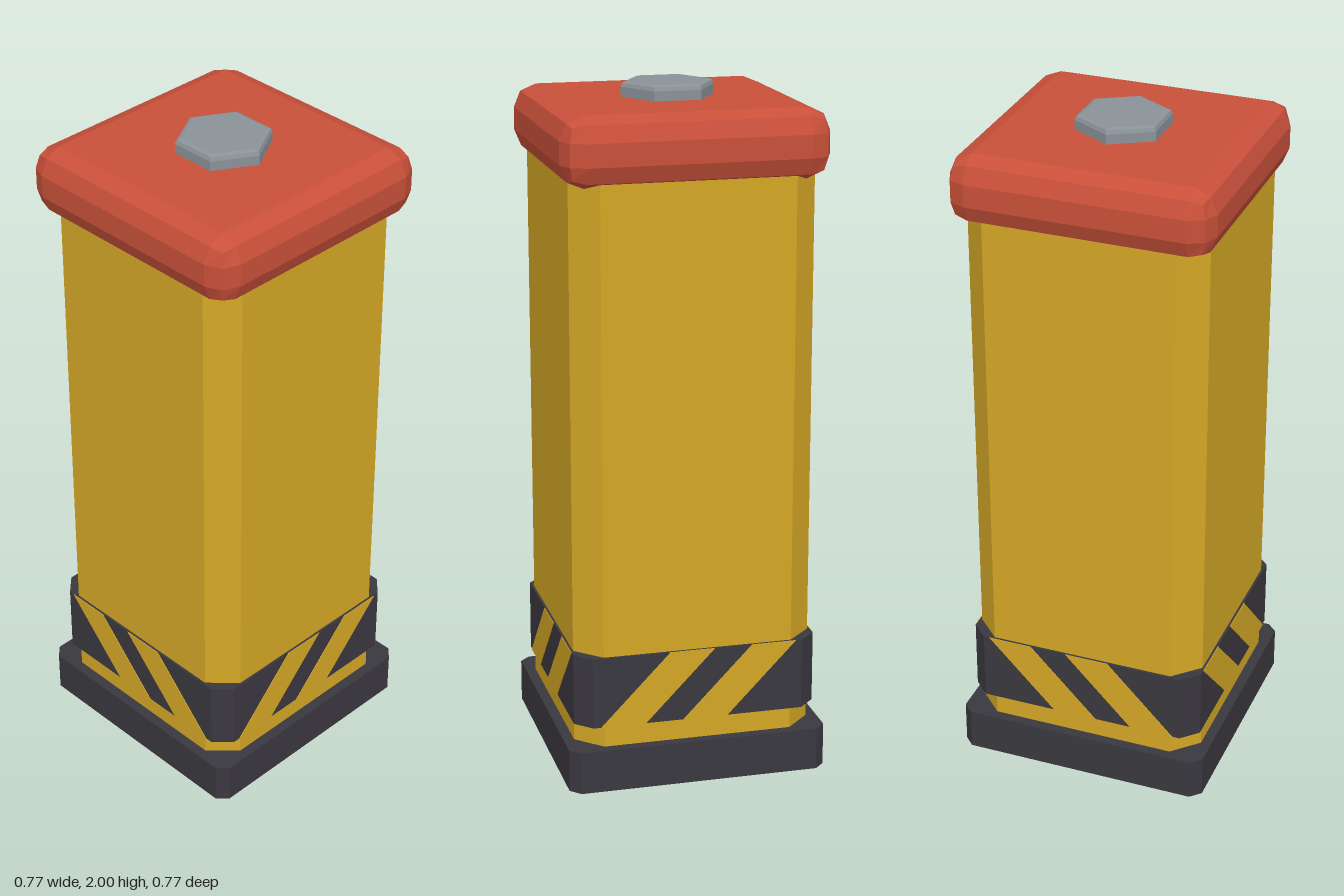
import * as THREE from 'three';
import { RoundedBoxGeometry } from 'three/addons/geometries/RoundedBoxGeometry.js';

function material(name, color) {
  const m = new THREE.MeshStandardMaterial({ color, flatShading: true });
  m.name = name;
  return m;
}

// Upright square prism with its four vertical edges cut off
function chamferedPrism(half, cut, bottom, top) {
  const h = half, c = half - cut;
  const outline = [[h, -c], [h, c], [c, h], [-c, h], [-h, c], [-h, -c], [-c, -h], [c, -h]];
  const shape = new THREE.Shape(outline.map(([x, y]) => new THREE.Vector2(x, y)));
  const geometry = new THREE.ExtrudeGeometry(shape, { depth: top - bottom, bevelEnabled: false });
  return geometry.rotateX(-Math.PI / 2).translate(0, bottom, 0);
}

export function createModel() {
  const yellow = material('yellow paint', 0xd4a726);
  const red = material('red paint', 0xc9503a);
  const dark = material('dark rubber', 0x3a383f);
  const steel = material('grey steel', 0x8a9299);

  const model = new THREE.Group();
  model.name = 'bollard';
  const add = (name, geometry, mat, parent = model) => {
    const mesh = new THREE.Mesh(geometry, mat);
    mesh.name = name;
    parent.add(mesh);
    return mesh;
  };

  // Foot, post and warning band
  add('base', chamferedPrism(0.385, 0.03, 0, 0.127), dark);
  add('post', chamferedPrism(0.354, 0.074, 0.12, 1.8), yellow);
  const bandBottom = 0.19, bandTop = 0.403, bandHalf = 0.361;
  add('band', chamferedPrism(bandHalf, 0.048, bandBottom, bandTop), dark);

  // Slanted stripes: the slant runs straight through to the opposite face
  const slant = 0.207, width = 0.133, thickness = 0.002;
  for (const turn of [0, Math.PI / 2]) {
    const stripes = new THREE.Group();
    stripes.name = turn ? 'sideStripes' : 'frontAndBackStripes';
    stripes.rotation.y = turn;
    model.add(stripes);
    for (const x of [-0.291, -0.046]) {
      const shape = new THREE.Shape([
        new THREE.Vector2(x, bandBottom),
        new THREE.Vector2(x + width, bandBottom),
        new THREE.Vector2(x + width + slant, bandTop),
        new THREE.Vector2(x + slant, bandTop),
      ]);
      for (const z of [bandHalf, -bandHalf - thickness]) {
        const plate = new THREE.ExtrudeGeometry(shape, { depth: thickness, bevelEnabled: false });
        add('stripe', plate.translate(0, 0, z), yellow, stripes);
      }
    }
  }

  // Cap with rounded edges
  const cap = new RoundedBoxGeometry(0.768, 0.2, 0.768, 1, 0.067);
  add('cap', cap.translate(0, 1.857, 0), red);

  // Six-sided bolt head with a softened rim
  const profile = [[0, 1.945], [0.128, 1.945], [0.137, 1.957], [0.137, 1.985], [0.132, 1.996], [0.121, 2], [0, 2]];
  const bolt = new THREE.LatheGeometry(profile.map(([r, y]) => new THREE.Vector2(r, y)), 6);
  add('bolt', bolt, steel);

  return model;
}
